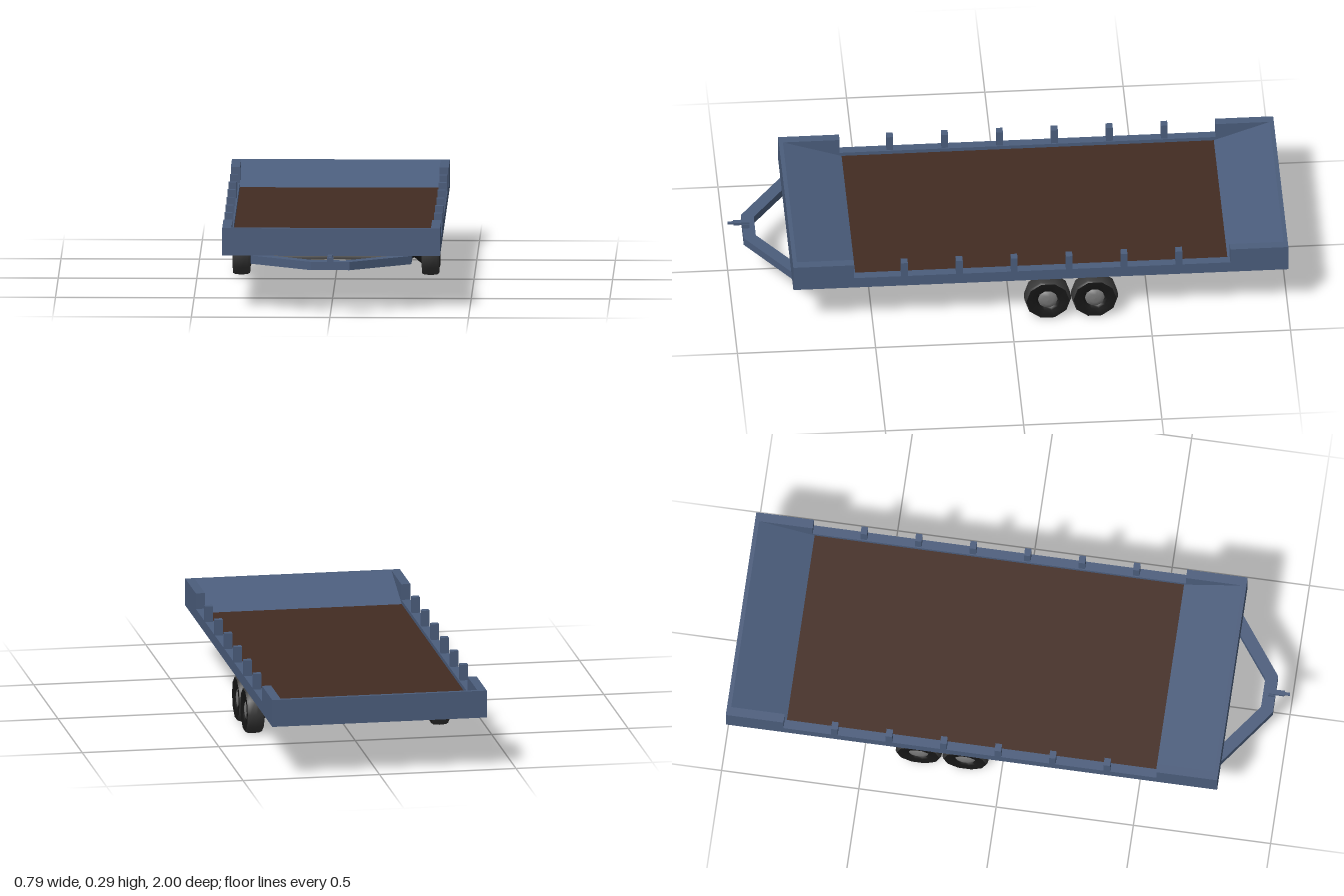
import * as THREE from 'three';

const mat = (name, color) => {
  const m = new THREE.MeshStandardMaterial({ color });
  m.name = name;
  return m;
};

export function createModel() {
  const blue = mat('bluePaint', 0x4b5d7c);
  const brown = mat('woodDeck', 0x432c22);
  const yellow = mat('yellowPaint', 0x72662b);
  const steel = mat('steel', 0x777777);
  const black = mat('blackRubber', 0x171717);
  const tread = mat('treadRubber', 0x383838);

  const model = new THREE.Group();
  model.name = 'flatbedTrailer';

  const add = (name, geometry, material, parent = model) => {
    const mesh = new THREE.Mesh(geometry, material);
    mesh.name = name;
    parent.add(mesh);
    return mesh;
  };
  // Box from its lower and upper bounds
  const box = (name, material, [x0, x1], [y0, y1], [z0, z1]) => {
    const g = new THREE.BoxGeometry(x1 - x0, y1 - y0, z1 - z0);
    return add(name, g.translate((x0 + x1) / 2, (y0 + y1) / 2, (z0 + z1) / 2), material);
  };
  const shapeOf = (pts) => new THREE.Shape(pts.map(([a, b]) => new THREE.Vector2(a, b)));
  // Side profile given as (z, y), extruded across x
  const extrudeAcross = (pts, x0, x1) =>
    new THREE.ExtrudeGeometry(shapeOf(pts), { depth: x1 - x0, bevelEnabled: false })
      .rotateY(-Math.PI / 2).translate(x1, 0, 0);

  const W = 0.393, IN = 0.36, BOTTOM = 0.198, TOP = 0.298;

  // Bed floor and planks
  box('bedBase', blue, [-IN, IN], [BOTTOM, 0.218], [-0.79, 0.57]);
  box('woodFloor', brown, [-IN, IN], [0.218, 0.226], [-0.785, 0.565]);

  // Side walls, raised at both ends
  const wall = [[-1, BOTTOM], [0.79, BOTTOM], [0.79, TOP], [0.57, TOP], [0.57, 0.24],
    [-0.79, 0.24], [-0.79, TOP], [-1, TOP]];
  add('leftWall', extrudeAcross(wall, IN, W), blue);
  add('rightWall', extrudeAcross(wall, -W, -IN), blue);

  // Sloping end panels with a narrow flat rim
  add('frontEnd', extrudeAcross([[0.56, BOTTOM], [0.79, BOTTOM], [0.79, TOP], [0.775, TOP],
    [0.56, 0.225]], -IN, IN), blue);
  add('rearEnd', extrudeAcross([[-1, BOTTOM], [-0.78, BOTTOM], [-0.78, 0.225], [-0.985, TOP],
    [-1, TOP]], -IN, IN), blue);

  // Stake posts along both sides
  for (const side of [-1, 1]) {
    for (let i = 0; i < 6; i++) {
      const z = 0.388 - i * 0.1985;
      const xs = side > 0 ? [IN + 0.004, W] : [-W, -IN - 0.004];
      box('stakePost', blue, xs, [0.23, TOP], [z - 0.012, z + 0.012]);
    }
  }

  // Chassis rails joined by the angled tongue, drawn as (x, z) on one half
  const outer = [[0.29, -0.87], [0.29, 0.785], [0.07, 0.947]];
  const inner = [[0.055, 0.902], [0.24, 0.765], [0.24, -0.87]];
  const flip = (pts) => pts.map(([x, z]) => [-x, z]).reverse();
  const loop = [...outer, ...flip(outer), ...flip(inner), ...inner];
  const frame = new THREE.ExtrudeGeometry(shapeOf(loop.map(([x, z]) => [x, -z])),
    { depth: 0.03, bevelEnabled: false });
  add('chassisFrame', frame.rotateX(-Math.PI / 2).translate(0, 0.168, 0), blue);

  // Hitch
  box('hitchPost', blue, [-0.012, 0.012], [0.196, 0.213], [0.922, 0.948]);
  box('hitchArm', blue, [-0.009, 0.009], [0.211, 0.222], [0.922, 0.98]);
  box('hitchTip', blue, [-0.005, 0.005], [0.213, 0.22], [0.98, 1]);

  // Suspension box
  box('suspensionBox', yellow, [-0.19, 0.19], [0.098, 0.169], [-0.36, -0.1]);

  // Lathe around the x axis; profile points are (radius, distance along the axle)
  const lathe = (name, pts, material, parent, sides = 10) => {
    const g = new THREE.LatheGeometry(pts.map(([r, d]) => new THREE.Vector2(r, d)), sides);
    return add(name, g.rotateZ(-Math.PI / 2), material, parent);
  };

  // Axles with one wheel at each end
  for (const z of [-0.132, -0.302]) {
    const axle = new THREE.Group();
    axle.name = 'axle';
    axle.position.set(0, 0.084, z);
    model.add(axle);
    lathe('axleTube', [[0.024, -0.26], [0.017, 0], [0.024, 0.26]], steel, axle, 12)
      .position.y = -0.01;

    for (const side of [-1, 1]) {
      const wheel = new THREE.Group();
      wheel.name = side > 0 ? 'leftWheel' : 'rightWheel';
      if (side < 0) wheel.rotation.y = Math.PI;
      axle.add(wheel);
      lathe('axleSleeve', [[0, 0.25], [0.025, 0.25], [0.025, 0.275], [0.02, 0.283],
        [0.045, 0.312]], black, wheel);
      lathe('tread', [[0.078, 0.31], [0.083, 0.318], [0.085, 0.341], [0.083, 0.364],
        [0.078, 0.372]], tread, wheel);
      lathe('innerSidewall', [[0, 0.312], [0.045, 0.312], [0.078, 0.31]], black, wheel);
      lathe('outerSidewall', [[0.078, 0.372], [0.045, 0.37], [0.036, 0.36]], black, wheel);
      lathe('hub', [[0.037, 0.355], [0.035, 0.364], [0.018, 0.369], [0, 0.37]], steel, wheel);
    }
  }

  return model;
}
